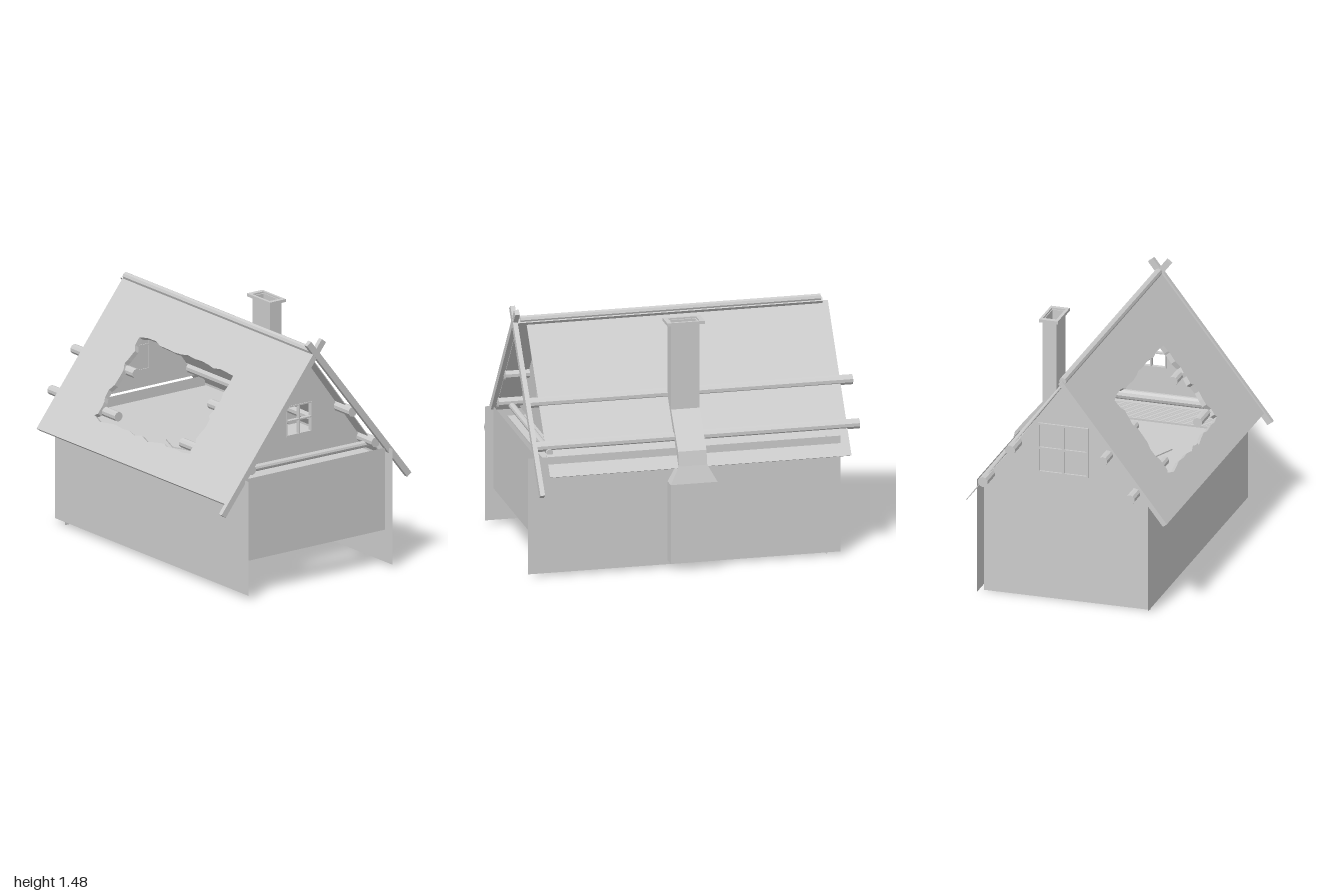
import * as THREE from 'three';

const mat = new THREE.MeshStandardMaterial({ color: 0xcccccc, flatShading: true, side: THREE.DoubleSide });

export function createModel() {
  const model = new THREE.Group();
  const add = (name, geo) => {
    const mesh = new THREE.Mesh(geo, mat);
    mesh.name = name;
    model.add(mesh);
    return mesh;
  };
  // box from its min and max corners
  const box = (name, x0, x1, y0, y1, z0, z1) => add(name,
    new THREE.BoxGeometry(x1 - x0, y1 - y0, z1 - z0).translate((x0 + x1) / 2, (y0 + y1) / 2, (z0 + z1) / 2));
  // round log between two points
  const log = (name, a, b, r, sides = 10) => {
    const p = new THREE.Vector3(...a), q = new THREE.Vector3(...b);
    const mesh = add(name, new THREE.CylinderGeometry(r, r, p.distanceTo(q), sides));
    mesh.position.copy(p).add(q).multiplyScalar(0.5);
    mesh.quaternion.setFromUnitVectors(new THREE.Vector3(0, 1, 0), q.sub(p).normalize());
  };
  const poly = pts => new THREE.Shape(pts.map(p => new THREE.Vector2(...p)));
  const extrude = (shape, depth) => new THREE.ExtrudeGeometry(shape, { depth, bevelEnabled: false });
  const rect = (x0, x1, y0, y1) => [[x0, y0], [x1, y0], [x1, y1], [x0, y1]];
  let seed = 7;
  const rnd = () => (seed = (seed * 16807) % 2147483647) / 2147483647 - 0.5;

  // sheet walls, open underneath
  for (const [name, x, y0] of [['leftWall', 0.527, 0.015], ['rightWall', -0.52, 0.025]]) {
    add(name, new THREE.PlaneGeometry(1.872, 0.72 - y0).rotateY(Math.sign(x) * Math.PI / 2)
      .translate(x, (0.72 + y0) / 2, 0.064));
  }
  add('frontWall', new THREE.PlaneGeometry(1.02, 0.5).translate(0, 0.47, 0.95));
  add('backWall', new THREE.PlaneGeometry(1.02, 0.72).rotateY(Math.PI).translate(0, 0.36, -0.79));

  // loft floor with a patch, slats and cross beams
  box('loftFloor', -0.5, 0.515, 0.652, 0.66, -0.785, 0.87);
  add('floorPatch', extrude(poly([[-0.1, 0.13], [-0.18, 0.13], [-0.305, 0.085], [-0.365, -0.06],
    [-0.3, -0.22], [-0.18, -0.275], [-0.1, -0.28]]), 0.008).rotateX(-Math.PI / 2).translate(0, 0.66, 0));
  for (let i = 0; i < 12; i++) {
    box('loftSlat', -0.49, 0.4, 0.63, 0.672, 0.44 + i * 0.02, 0.454 + i * 0.02);
  }
  log('loftBeam', [-0.48, 0.7, 0.71], [0.48, 0.7, 0.71], 0.03);
  log('lowerBeam', [-0.49, 0.6, 0.73], [0.49, 0.6, 0.73], 0.03);
  log('frontBeam', [-0.49, 0.742, 0.86], [0.49, 0.735, 0.86], 0.02);

  // four-pane window frame
  const windowFrame = (name, w, y0, y1, bar, z) => {
    const frame = poly(rect(-w, w, y0, y1));
    const pw = w - bar * 1.5, ph = (y1 - y0) / 2 - bar * 1.5;
    for (const x of [-w + bar, bar / 2]) for (const y of [y0 + bar, (y0 + y1 + bar) / 2]) {
      frame.holes.push(new THREE.Path(poly(rect(x, x + pw, y, y + ph)).getPoints()));
    }
    add(name, extrude(frame, 0.025).translate(0, 0, z));
  };
  // front gable has an open window, back gable a larger closed one
  const outline = [[-0.5, 0.71], [0.485, 0.71], [0, 1.37], [-0.5, 0.755]];
  const frontGable = poly(outline);
  frontGable.holes.push(new THREE.Path(poly(rect(-0.092, 0.092, 0.862, 1.042)).getPoints()));
  add('frontGable', extrude(frontGable, 0.01).translate(0, 0, 0.785));
  windowFrame('frontWindow', 0.094, 0.86, 1.045, 0.008, 0.775);
  add('backGable', extrude(poly(outline), 0.008).translate(0, 0, -0.86));
  windowFrame('backWindow', 0.155, 0.81, 1.12, 0.011, -0.872);

  // roof sheets: shape x runs along the ridge, shape y runs up the slope to the ridge at 0
  const roof = (name, shape, ex, ridgeY, eaveY, t) => {
    const up = new THREE.Vector3(-ex, ridgeY - eaveY, 0).normalize();
    const along = new THREE.Vector3(0, 0, 1);
    const out = along.clone().cross(up);
    const geo = extrude(shape, t);
    if (ex < 0) geo.translate(0, 0, -t);
    geo.applyMatrix4(new THREE.Matrix4().makeBasis(along, up, out)).translate(0, ridgeY, 0);
    add(name, geo);
  };
  const leftLen = Math.hypot(0.64, 0.815), k = leftLen / 0.64;
  const leftShape = poly(rect(-0.89, 0.935, -leftLen, 0));
  // ragged hole torn in the left slope
  const corners = rect(-0.48, 0.42, -0.525 * k, -0.19 * k);
  const ragged = [];
  corners.forEach((c, i) => {
    const d = corners[(i + 1) % 4];
    for (let j = 0; j < 14; j++) {
      ragged.push(new THREE.Vector2(c[0] + (d[0] - c[0]) * j / 14 + rnd() * 0.03,
        c[1] + (d[1] - c[1]) * j / 14 + rnd() * 0.035));
    }
  });
  leftShape.holes.push(new THREE.Path(ragged));
  roof('leftRoof', leftShape, -0.64, 1.405, 0.59, 0.03);
  roof('rightRoof', poly(rect(-0.925, 0.88, -Math.hypot(0.575, 0.772), 0)), 0.575, 1.382, 0.61, 0.005);
  log('ridgePole', [0, 1.402, -0.88], [0, 1.402, 0.92], 0.022, 8);

  // purlins: whole on the right, snapped on the left
  for (const [x, y, zb, zf] of [[0.283, 0.98, -0.4, 0.32], [0.45, 0.762, -0.35, 0.27]]) {
    log('rightPurlin', [x, y, -1], [x, y, 0.94], 0.031);
    log('leftPurlinBack', [-x, y, -1], [-x, y, zb], 0.029);
    log('leftPurlinFront', [-x, y, zf], [-x, y, 0.94], 0.029);
  }

  // crossed barge boards
  for (const s of [1, -1]) {
    const pts = [[-0.69, 0.54], [-0.66, 0.518], [0.07, 1.452], [0.04, 1.475]];
    add(s > 0 ? 'leftSlopeBoard' : 'rightSlopeBoard',
      extrude(poly(pts.map(([x, y]) => [-s * x, y])), 0.028).translate(0, 0, s > 0 ? 0.938 : 0.936));
  }

  // chimney lofted through rectangular sections: inner x, inner y, outer x, outer y, back z, front z
  const sections = [
    [0.468, 0.04, 0.607, 0.04, -0.115, 0.165],
    [0.468, 0.52, 0.607, 0.52, -0.115, 0.165],
    [0.468, 0.62, 0.579, 0.62, -0.06, 0.11],
    [0.46, 0.64, 0.56, 0.705, -0.06, 0.11],
    [0.305, 0.84, 0.39, 0.91, -0.06, 0.11],
    [0.305, 1.43, 0.39, 1.43, -0.06, 0.11],
    [0.313, 1.43, 0.382, 1.43, -0.052, 0.102],
    [0.313, 0.95, 0.382, 0.95, -0.052, 0.102],
  ];
  const pos = [], idx = [];
  for (const [xi, yi, xo, yo, zb, zf] of sections) {
    pos.push(xi, yi, zf, xo, yo, zf, xo, yo, zb, xi, yi, zb);
  }
  for (let i = 0; i < sections.length - 1; i++) for (let j = 0; j < 4; j++) {
    const a = i * 4 + j, b = i * 4 + (j + 1) % 4;
    idx.push(a, b, b + 4, a, b + 4, a + 4);
  }
  const end = (sections.length - 1) * 4;
  idx.push(0, 2, 1, 0, 3, 2, end, end + 1, end + 2, end, end + 2, end + 3);
  const flue = new THREE.BufferGeometry();
  flue.setAttribute('position', new THREE.Float32BufferAttribute(pos, 3));
  flue.setIndex(idx);
  const flat = flue.toNonIndexed();
  flat.computeVertexNormals();
  add('chimney', flat);
  const cap = poly(rect(0.287, 0.402, -0.135, 0.09));
  cap.holes.push(new THREE.Path(poly(rect(0.305, 0.387, -0.108, 0.06)).getPoints()));
  add('chimneyCap', extrude(cap, 0.018).rotateX(-Math.PI / 2).translate(0, 1.422, 0));

  return model;
}
